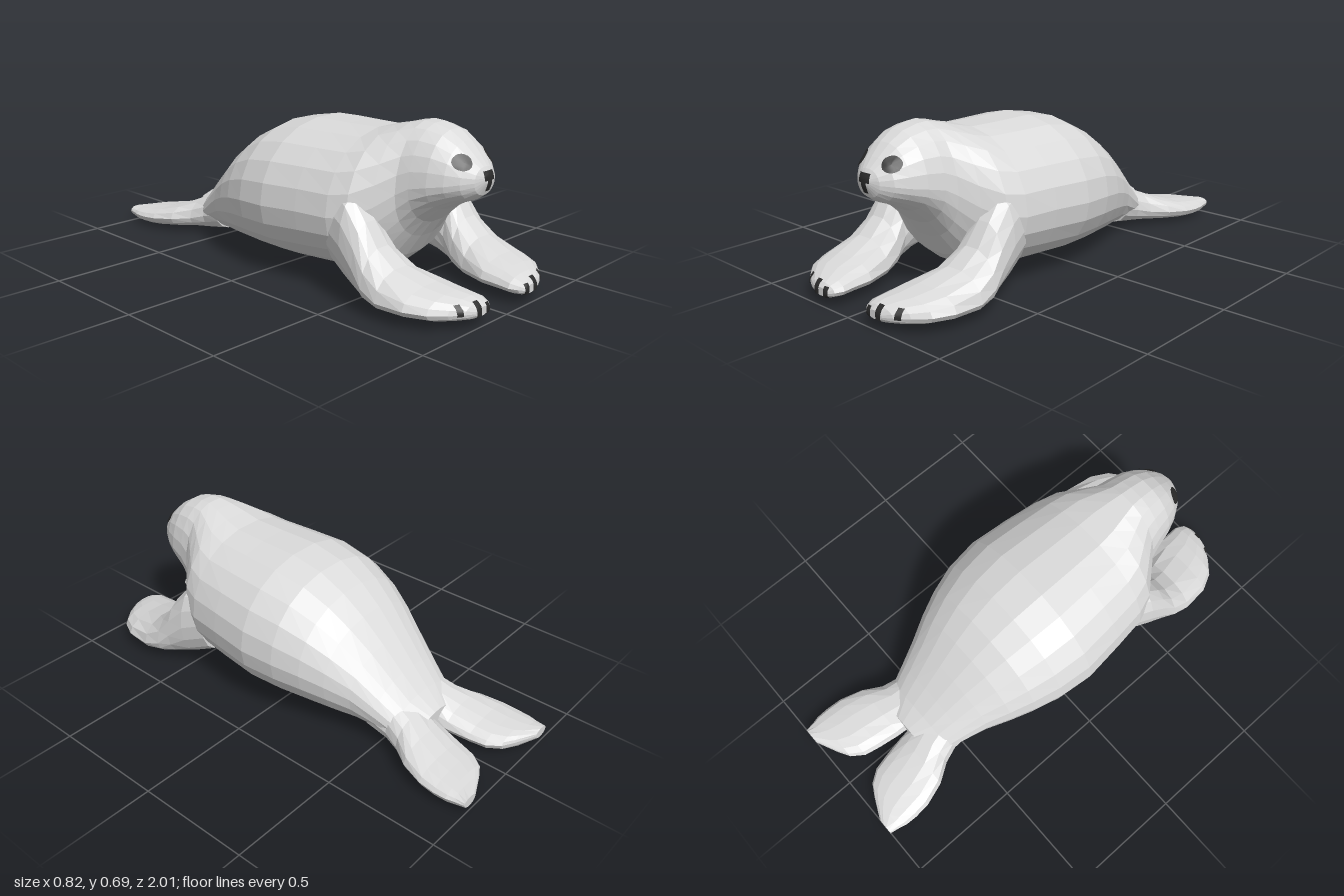
import * as THREE from 'three';

const fur = new THREE.MeshStandardMaterial({ color: 0xdadada, flatShading: true });
fur.name = 'pale grey fur';
const dark = new THREE.MeshStandardMaterial({ color: 0x2b2b2b });
dark.name = 'dark markings';

// Loft through oval rings listed front to back: [z, centreX, halfWidth, bottom, top, heightOfWidest]
function loft(name, rings, sides, side = 1) {
  const pos = [], index = [];
  for (const [z, cx, hw, bottom, top, mid] of rings) {
    for (let j = 0; j < sides; j++) {
      const a = (j / sides) * Math.PI * 2, s = Math.sin(a), c = Math.cos(a);
      const y = mid + s * (s > 0 ? top - mid : mid - bottom);
      const x = Math.sign(c) * Math.pow(Math.abs(c), 0.9) * hw;
      pos.push(side * cx + x, y, z);
    }
  }
  const last = rings.length - 1;
  for (let i = 0; i < last; i++) {
    for (let j = 0; j < sides; j++) {
      const k = (j + 1) % sides, a = i * sides + j, b = i * sides + k;
      index.push(a, a + sides, b, b, a + sides, b + sides);
    }
  }
  // end caps
  for (const i of [0, last]) {
    const [z, cx, , bottom, top] = rings[i], centre = pos.length / 3;
    pos.push(side * cx, (bottom + top) / 2, z);
    for (let j = 0; j < sides; j++) {
      const a = i * sides + j, b = i * sides + ((j + 1) % sides);
      if (i === 0) index.push(centre, a, b);
      else index.push(centre, b, a);
    }
  }
  const geo = new THREE.BufferGeometry();
  geo.setAttribute('position', new THREE.Float32BufferAttribute(pos, 3));
  geo.setIndex(index);
  geo.computeVertexNormals();
  const mesh = new THREE.Mesh(geo, fur);
  mesh.name = name;
  return mesh;
}

// Lay a flat patch onto the front of a part, just above its surface
function marking(name, flat, target) {
  const ray = new THREE.Raycaster(), p = flat.attributes.position;
  for (let i = 0; i < p.count; i++) {
    const from = new THREE.Vector3(p.getX(i), p.getY(i), 2);
    ray.set(from, new THREE.Vector3(0, 0, -1));
    const hit = ray.intersectObject(target)[0];
    if (!hit) continue;
    const q = hit.point.addScaledVector(hit.face.normal, 0.005);
    p.setXYZ(i, q.x, q.y, q.z);
  }
  flat.computeVertexNormals();
  const mesh = new THREE.Mesh(flat, dark);
  mesh.name = name;
  return mesh;
}

const patch = (x, y, w, h) => new THREE.PlaneGeometry(w, h, 4, 6).translate(x, y, 0);

export function createModel() {
  const model = new THREE.Group();
  model.name = 'seal';

  // head, neck and trunk in one skin: z, halfWidth, bottom, top, heightOfWidest
  const trunk = [
    [0.893, 0.02, 0.49, 0.525, 0.51],
    [0.875, 0.065, 0.445, 0.555, 0.5],
    [0.84, 0.108, 0.42, 0.592, 0.495],
    [0.79, 0.142, 0.4, 0.64, 0.485],
    [0.73, 0.168, 0.365, 0.678, 0.475],
    [0.66, 0.185, 0.3, 0.695, 0.46],
    [0.61, 0.2, 0.23, 0.698, 0.43],
    [0.55, 0.26, 0.14, 0.685, 0.38],
    [0.48, 0.33, 0.085, 0.665, 0.34],
    [0.4, 0.36, 0.065, 0.646, 0.33],
    [0.25, 0.38, 0.048, 0.643, 0.33],
    [0.07, 0.398, 0.038, 0.643, 0.32],
    [-0.08, 0.38, 0.035, 0.615, 0.31],
    [-0.2, 0.345, 0.033, 0.555, 0.29],
    [-0.3, 0.305, 0.03, 0.48, 0.26],
    [-0.4, 0.258, 0.03, 0.385, 0.22],
    [-0.5, 0.222, 0.03, 0.285, 0.16],
    [-0.58, 0.195, 0.03, 0.21, 0.11],
    [-0.66, 0.11, 0.03, 0.15, 0.09],
  ];
  const body = loft('body', trunk.map(([z, ...r]) => [z, 0, ...r]), 22);
  model.add(body);

  const frontRings = [
    [1.0, 0.16, 0.04, 0.048, 0.082, 0.065],
    [0.985, 0.17, 0.075, 0.04, 0.1, 0.07],
    [0.95, 0.19, 0.112, 0.035, 0.115, 0.072],
    [0.9, 0.22, 0.14, 0.032, 0.128, 0.075],
    [0.82, 0.24, 0.16, 0.03, 0.145, 0.078],
    [0.7, 0.265, 0.145, 0.03, 0.185, 0.08],
    [0.62, 0.275, 0.125, 0.035, 0.25, 0.11],
    [0.56, 0.28, 0.105, 0.05, 0.34, 0.17],
    [0.48, 0.27, 0.1, 0.08, 0.43, 0.24],
    [0.38, 0.24, 0.1, 0.12, 0.46, 0.28],
  ];
  const rearRings = [
    [-0.45, 0.11, 0.1, 0.05, 0.25, 0.13],
    [-0.55, 0.105, 0.102, 0.03, 0.2, 0.1],
    [-0.62, 0.115, 0.115, 0.025, 0.17, 0.08],
    [-0.7, 0.145, 0.138, 0.02, 0.135, 0.07],
    [-0.8, 0.17, 0.146, 0.01, 0.105, 0.06],
    [-0.87, 0.181, 0.141, 0.004, 0.093, 0.055],
    [-0.925, 0.2, 0.12, 0.005, 0.085, 0.055],
    [-0.955, 0.222, 0.09, 0.01, 0.08, 0.055],
    [-1.0, 0.266, 0.038, 0.03, 0.075, 0.055],
  ];

  for (const [label, s] of [['left', 1], ['right', -1]]) {
    const flipper = loft(label + 'FrontFlipper', frontRings, 14, s);
    model.add(flipper, loft(label + 'RearFlipper', rearRings, 14, s));

    // claws
    [[0.13, 0.07, 0.022, 0.038], [0.183, 0.077, 0.026, 0.05], [0.26, 0.085, 0.022, 0.036]].forEach(
      ([x, y, w, h], i) => model.add(marking(label + 'Claw' + (i + 1), patch(s * x, y, w, h), flipper)));

    // eye, a tilted oval
    const oval = new THREE.RingGeometry(0.001, 1, 18, 4).scale(0.034, 0.025, 1)
      .rotateZ(-s * 0.6).translate(s * 0.08, 0.573, 0);
    model.add(marking(label + 'Eye', oval, body));
  }

  // nose
  model.add(marking('nose', patch(0, 0.522, 0.054, 0.034), body));
  model.add(marking('noseStem', patch(0, 0.486, 0.026, 0.042), body));
  return model;
}
